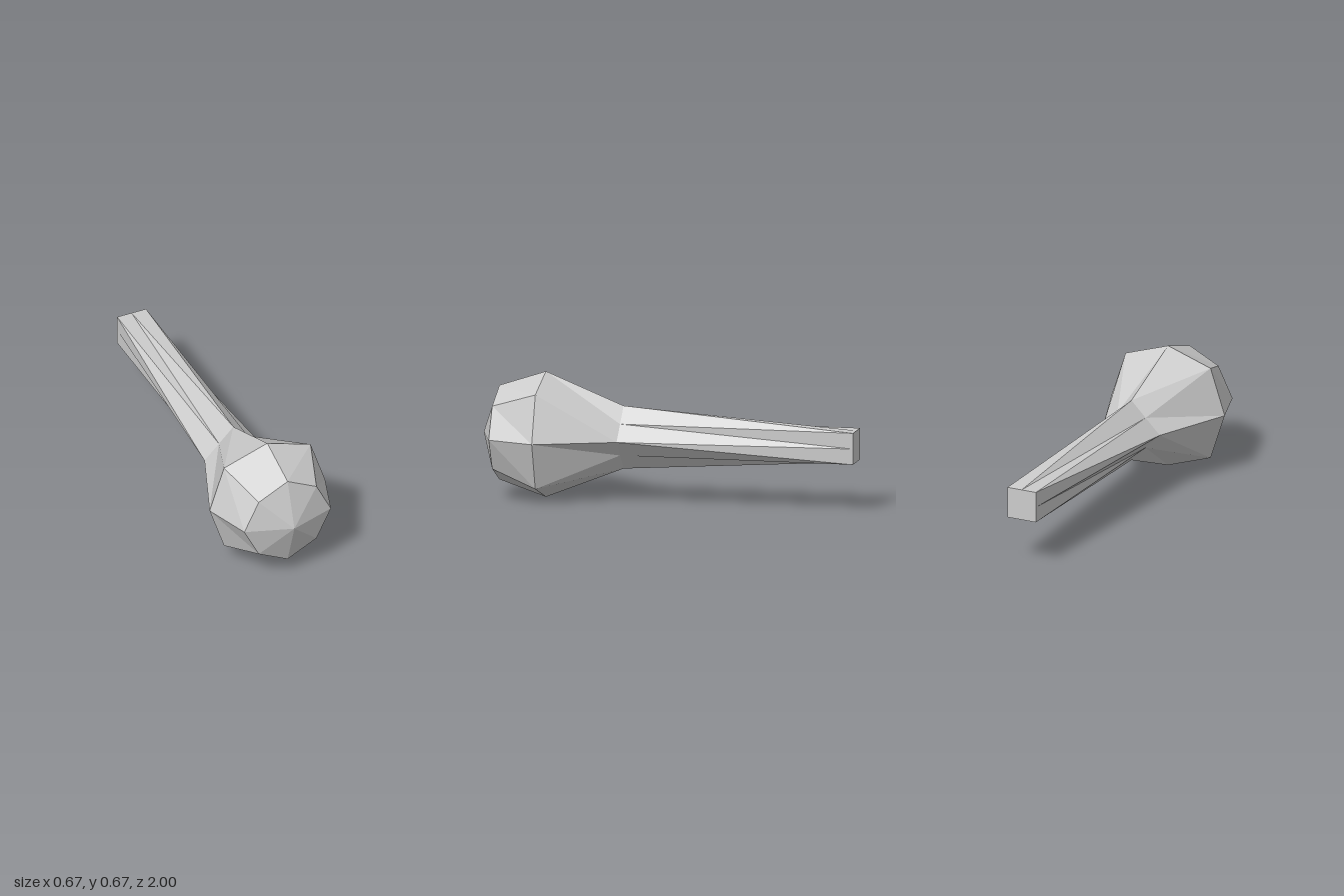
import * as THREE from 'three';

const CENTER_Y = 1 / 3;

// Eight-sided ring at depth z: "axis" is the reach along x/y, "diag" the offset of the diagonal corners.
function ring(z, axis, diag) {
  const steps = [[1, 0], [1, 1], [0, 1], [-1, 1], [-1, 0], [-1, -1], [0, -1], [1, -1]];
  return steps.map(([x, y]) => {
    const r = x && y ? diag : axis;
    return new THREE.Vector3(x * r, y * r + CENTER_Y, z);
  });
}

// Skins consecutive rings (front to back) with flat triangles.
function loft(rings) {
  const points = [];
  for (let k = 0; k < rings.length - 1; k++) {
    const a = rings[k], b = rings[k + 1];
    for (let i = 0; i < 8; i++) {
      const j = (i + 1) % 8;
      points.push(a[i], b[i], a[j], a[j], b[i], b[j]);
    }
  }
  return points;
}

// Closes a ring with a fan to one point; front caps and back caps wind opposite ways.
function cap(r, z, front) {
  const tip = new THREE.Vector3(0, CENTER_Y, z);
  return r.flatMap((p, i) => {
    const q = r[(i + 1) % 8];
    return front ? [tip, p, q] : [tip, q, p];
  });
}

function part(name, points, material) {
  const geometry = new THREE.BufferGeometry().setFromPoints(points);
  geometry.computeVertexNormals();
  const mesh = new THREE.Mesh(geometry, material);
  mesh.name = name;
  return mesh;
}

export function createModel() {
  const grey = new THREE.MeshStandardMaterial({ color: 0xcccccc, flatShading: true });
  grey.name = 'light grey';

  const face = ring(11 / 12, 1 / 4, 1 / 6);
  const widest = ring(2 / 3, 1 / 3, 1 / 4);
  const neck = ring(1 / 4, 1 / 6, 1 / 12); // diamond section
  const end = ring(-1, 1 / 12, 1 / 12); // square section

  const model = new THREE.Group();
  model.name = 'club';
  // Faceted head with a shallow pointed front
  model.add(part('head', [...cap(face, 1, true), ...loft([face, widest, neck])], grey));
  // Handle twisting from diamond to square, with a flat butt
  model.add(part('handle', [...loft([neck, end]), ...cap(end, -1, false)], grey));
  return model;
}
